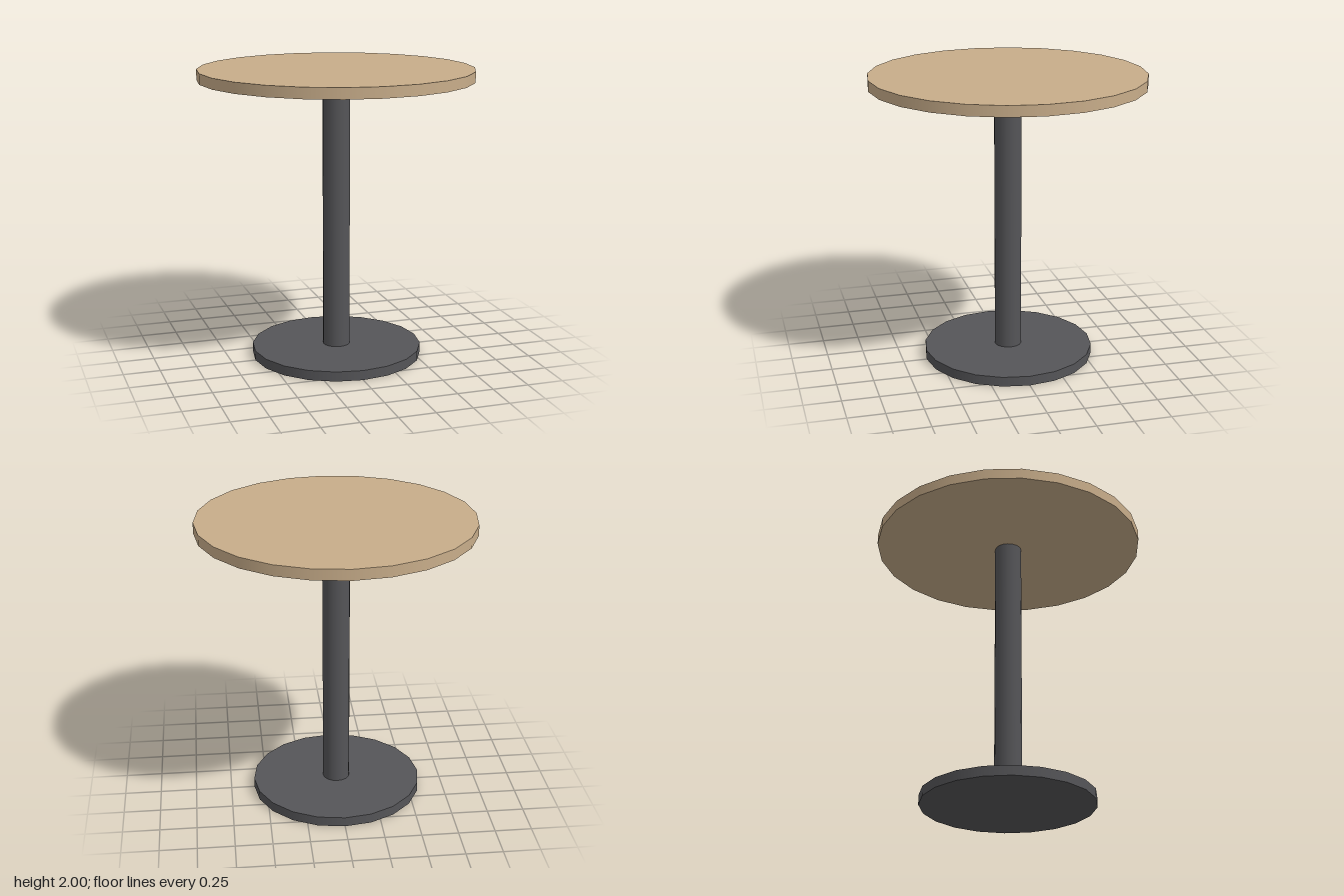
import * as THREE from 'three';

export function createModel() {
  const table = new THREE.Group();
  table.name = 'pedestalTable';

  const wood = new THREE.MeshStandardMaterial({ color: 0xc8ad8a });
  const metal = new THREE.MeshStandardMaterial({ color: 0x555558 });

  // Upright disc or post between two heights
  function addRound(name, radius, bottom, top, sides, material) {
    const geometry = new THREE.CylinderGeometry(radius, radius, top - bottom, sides);
    const mesh = new THREE.Mesh(geometry, material);
    mesh.name = name;
    mesh.position.y = (bottom + top) / 2;
    table.add(mesh);
  }

  addRound('base', 0.587, 0, 0.067, 20, metal);
  addRound('post', 0.093, 0.067, 1.927, 16, metal);
  addRound('tableTop', 0.933, 1.927, 2, 24, wood);

  return table;
}
